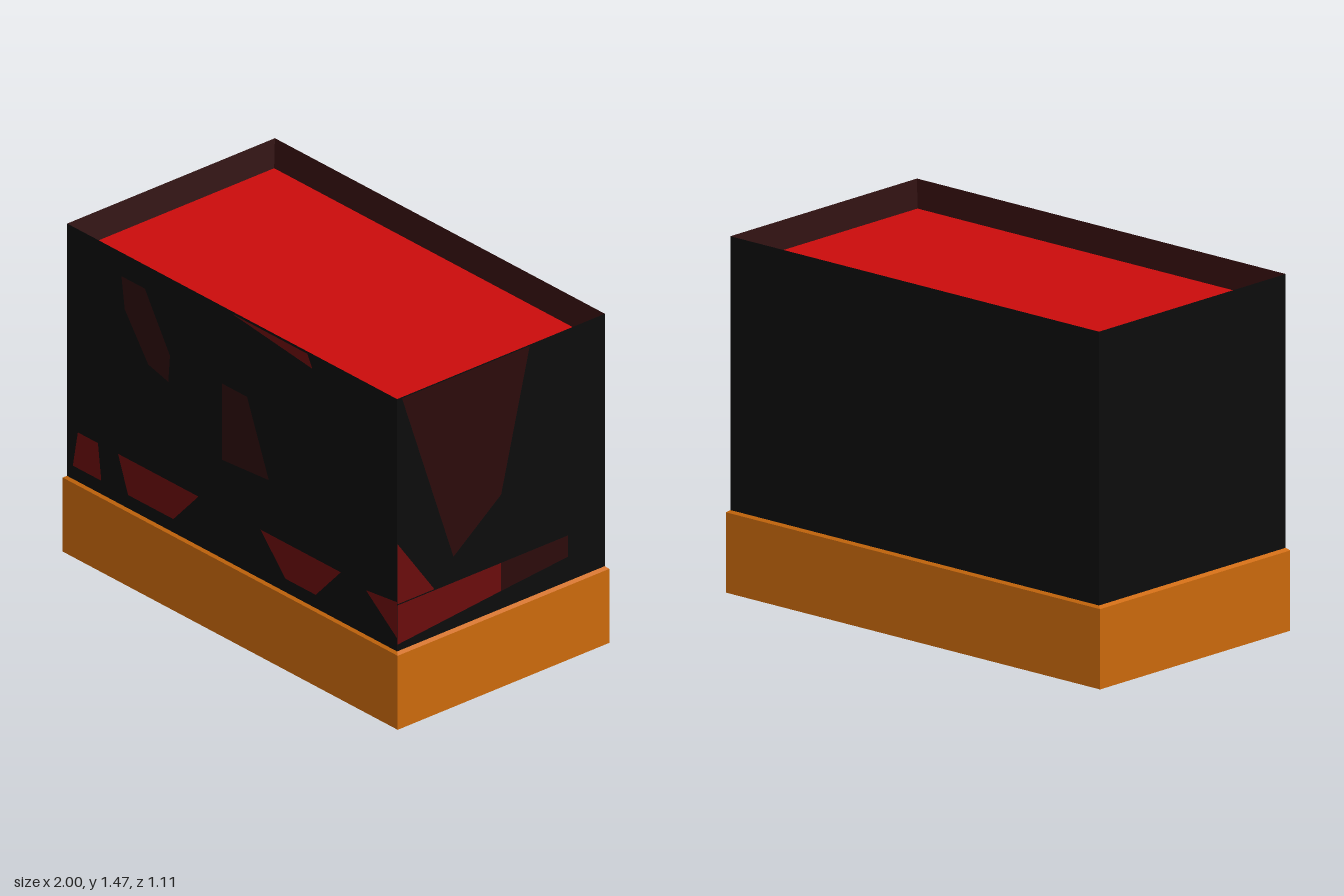
import * as THREE from 'three';

const paint = (color) => new THREE.MeshStandardMaterial({ color, side: THREE.DoubleSide });

// Half width, height and half depth of each rectangular outline
const FOOT = [1, 0, 0.555];
const BAND_TOP = [1, 0.33, 0.555];
const WALL_FOOT = [0.985, 0.34, 0.545];
const WALL_TOP = [0.985, 1.465, 0.545];
const LID = [0.953, 1.355, 0.513];

// Four-sided open sheet joining a stack of rectangular outlines
function sheet(name, material, rings) {
  const corners = [[1, 1], [1, -1], [-1, -1], [-1, 1]];
  const point = ([w, y, d], i) => [w * corners[i % 4][0], y, d * corners[i % 4][1]];
  const pos = [];
  for (let r = 0; r < rings.length - 1; r++) {
    for (let i = 0; i < 4; i++) {
      const a = point(rings[r], i), b = point(rings[r], i + 1);
      const c = point(rings[r + 1], i + 1), d = point(rings[r + 1], i);
      pos.push(...a, ...b, ...c, ...a, ...c, ...d);
    }
  }
  const geo = new THREE.BufferGeometry();
  geo.setAttribute('position', new THREE.Float32BufferAttribute(pos, 3));
  geo.computeVertexNormals();
  const mesh = new THREE.Mesh(geo, material);
  mesh.name = name;
  return mesh;
}

// Flat painted patch given as 2D corners
function patch(name, material, points) {
  const shape = new THREE.Shape(points.map(([x, y]) => new THREE.Vector2(x, y)));
  const mesh = new THREE.Mesh(new THREE.ShapeGeometry(shape), material);
  mesh.name = name;
  return mesh;
}

export function createModel() {
  const model = new THREE.Group();
  const orange = paint(0xcc6a0c), black = paint(0x0c0c0c), red = paint(0xcc0c0c);
  const darkRed = paint(0x6a0c0c), dimRed = paint(0x2c0b0b);

  // Open base band with a narrow sloping ledge, walls, and the sloping lip inside the rim
  model.add(sheet('baseBand', orange, [FOOT, BAND_TOP, WALL_FOOT]));
  model.add(sheet('walls', black, [WALL_FOOT, WALL_TOP]));
  model.add(sheet('innerLip', dimRed, [WALL_TOP, LID]));

  // Sunken top panel
  const lid = new THREE.Mesh(new THREE.PlaneGeometry(LID[0] * 2, LID[2] * 2), red);
  lid.name = 'topPanel';
  lid.rotation.x = -Math.PI / 2;
  lid.position.y = LID[1];
  model.add(lid);

  // Painted marks on the front wall
  const front = new THREE.Group();
  front.name = 'frontMarks';
  front.position.z = WALL_FOOT[2] + 0.001;
  [
    [[-0.95, 0.4], [-0.78, 0.4], [-0.8, 0.56], [-0.92, 0.56]],
    [[-0.62, 0.4], [-0.35, 0.4], [-0.2, 0.56], [-0.68, 0.56]],
    [[0.32, 0.4], [0.5, 0.4], [0.65, 0.56], [0.17, 0.56]],
    [[0.8, 0.54], [0.985, 0.4], [0.985, 0.56]],
    [[0, 1.455], [0.48, 1.4], [0.45, 1.455]],
  ].forEach((p) => front.add(patch('brightMark', darkRed, p)));
  [
    [[-0.66, 1.36], [-0.52, 1.36], [-0.37, 1.12], [-0.38, 1.0], [-0.5, 1.03], [-0.64, 1.22]],
    [[-0.06, 1.12], [0.09, 1.12], [0.22, 0.8], [-0.06, 0.78]],
  ].forEach((p) => front.add(patch('dimMark', dimRed, p)));
  model.add(front);

  // Painted marks on the left wall, drawn as (-z, y)
  const side = new THREE.Group();
  side.name = 'leftMarks';
  side.rotation.y = Math.PI / 2;
  side.position.x = WALL_FOOT[0] + 0.001;
  side.add(patch('lowerStripe', darkRed, [[-0.545, 0.37], [0, 0.42], [0, 0.545], [-0.545, 0.545]]));
  side.add(patch('lowerStripeEnd', dimRed, [[0, 0.42], [0.35, 0.45], [0.35, 0.545], [0, 0.545]]));
  side.add(patch('cornerMark', darkRed, [[-0.545, 0.55], [-0.35, 0.55], [-0.545, 0.82]]));
  side.add(patch('upperMark', dimRed, [[-0.52, 1.46], [-0.25, 0.66], [0, 0.85], [0.15, 1.46]]));
  model.add(side);

  return model;
}
